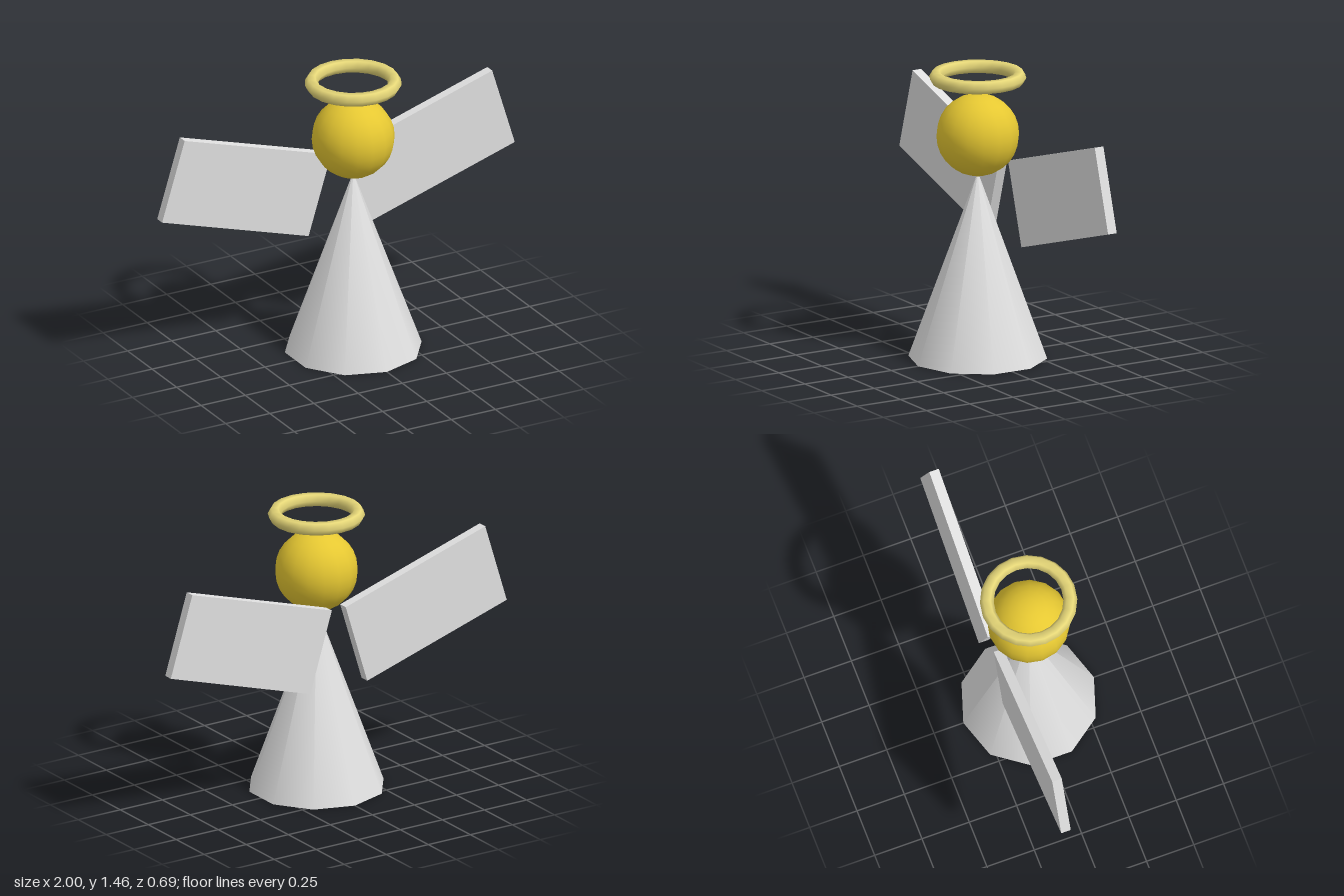
import * as THREE from 'three';

export function createModel() {
  const model = new THREE.Group();
  const material = (name, color) => {
    const m = new THREE.MeshStandardMaterial({ color });
    m.name = name;
    return m;
  };
  const white = material('white', 0xe0e0e0);
  const gold = material('gold', 0xe6c832);
  const paleGold = material('pale gold', 0xe6d778);

  const add = (name, geometry, mat, x, y, z) => {
    const mesh = new THREE.Mesh(geometry, mat);
    mesh.name = name;
    mesh.position.set(x, y, z);
    model.add(mesh);
    return mesh;
  };

  // Ten-sided robe with its tip just touching the head
  const robeHeight = 0.95;
  add('robe', new THREE.ConeGeometry(0.345, robeHeight, 10), white, 0, robeHeight / 2, 0);

  // Head
  add('head', new THREE.SphereGeometry(0.207, 16, 14), gold, 0, 1.14, 0);

  // Halo: hexagonal tube lying flat above the head
  const halo = add('halo', new THREE.TorusGeometry(0.207, 0.0345, 6, 20), paleGold, 0, 1.435, 0);
  halo.rotation.x = Math.PI / 2;

  // Mirrored slab wings, tilted up and outward behind the robe
  for (const side of [1, -1]) {
    const wing = add(side > 0 ? 'leftWing' : 'rightWing',
      new THREE.BoxGeometry(0.868, 0.435, 0.05), white, side * 0.52, 0.915, -0.175);
    wing.rotation.z = side * 0.298;
  }

  return model;
}
